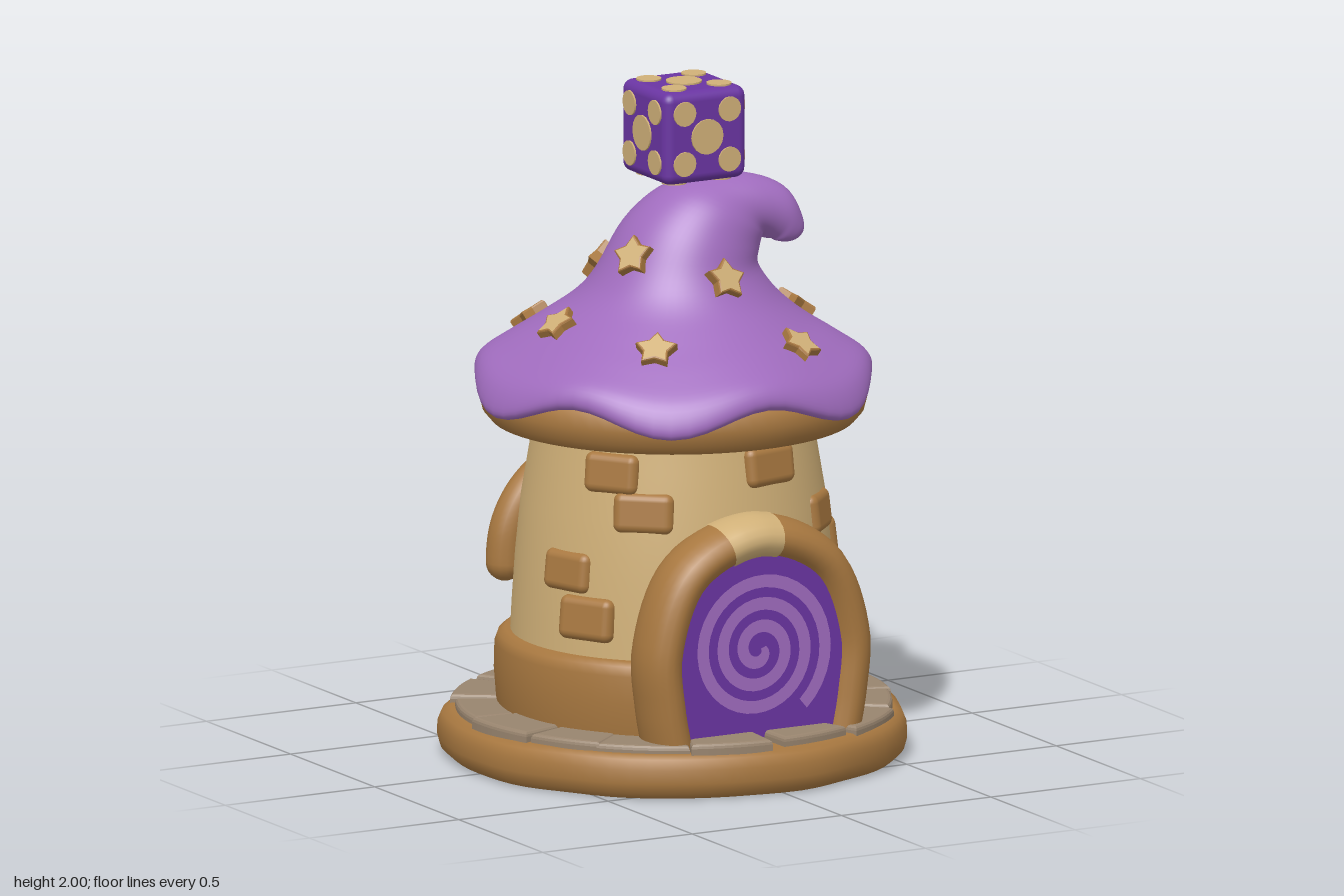
import * as THREE from 'three';
import { RoundedBoxGeometry } from 'three/addons/geometries/RoundedBoxGeometry.js';

const material = (name, color, side = THREE.FrontSide) => {
  const m = new THREE.MeshStandardMaterial({ color, side });
  m.name = name;
  return m;
};
const V = (x, y, z = 0) => new THREE.Vector3(x, y, z);
const DEG = Math.PI / 180;

export function createModel() {
  const wood = material('wood brown', 0xa87840);
  const plaster = material('plaster beige', 0xd0b078);
  const lilac = material('hat lilac', 0xa06cbe);
  const violet = material('deep violet', 0x6a35a2);
  const cobble = material('cobble grey', 0x98846e);

  const model = new THREE.Group();
  model.name = 'hatTower';
  const add = (name, geometry, mat, parent = model) => {
    const mesh = new THREE.Mesh(geometry, mat);
    mesh.name = name;
    parent.add(mesh);
    return mesh;
  };
  // Lathe whose radius ripples gently around the axis
  const lathe = (pts, ripple = 0) => {
    const g = new THREE.LatheGeometry(pts.map(([x, y]) => new THREE.Vector2(x, y)), 72);
    if (!ripple) return g;
    const p = g.attributes.position;
    for (let i = 0; i < p.count; i++) {
      const a = Math.atan2(p.getX(i), p.getZ(i));
      const k = 1 + ripple * (Math.sin(9 * a + 1) + 0.6 * Math.sin(14 * a));
      p.setX(i, p.getX(i) * k);
      p.setZ(i, p.getZ(i) * k);
    }
    return g;
  };

  // Plinth, collar, wall and the brim under the hat
  add('plinth', lathe([[0, 0], [0.63, 0], [0.655, 0.002], [0.675, 0.02], [0.683, 0.05], [0.682, 0.09],
    [0.67, 0.12], [0.645, 0.132], [0.4, 0.135]], 0.007), wood);
  add('collar', lathe([[0.5, 0.1], [0.515, 0.16], [0.522, 0.25], [0.52, 0.33], [0.51, 0.358],
    [0.49, 0.37], [0.42, 0.372]], 0.003), wood);
  add('wall', lathe([[0.478, 0.33], [0.472, 0.45], [0.462, 0.6], [0.445, 0.77], [0.42, 0.92], [0.4, 1.06]]), plaster);
  add('brim', lathe([[0.36, 1.03], [0.43, 1.002], [0.5, 0.995], [0.535, 1.003], [0.558, 1.03],
    [0.568, 1.07], [0.562, 1.12], [0.48, 1.18]]), wood);

  // Ring of cobbles on the plinth
  for (let i = 0; i < 15; i++) {
    const half = (10.2 + 1.1 * Math.sin(i * 2.3)) * DEG;
    const outer = 0.632 + 0.009 * Math.sin(i * 3.7);
    const s = new THREE.Shape();
    s.absarc(0, 0, outer, -half, half, false);
    s.absarc(0, 0, 0.5, half, -half, true);
    const g = new THREE.ExtrudeGeometry(s, { depth: 0.03, bevelThickness: 0.014, bevelSize: 0.013, bevelSegments: 3, curveSegments: 6 });
    g.rotateX(-Math.PI / 2);
    const stone = add('cobble', g, cobble);
    stone.position.y = 0.115 + 0.004 * Math.sin(i * 1.9);
    stone.rotation.y = (i * 24 + 90 + 2 * Math.sin(i * 5.1)) * DEG;
  }

  // Wall bricks: angle from the front, height, width, brick height
  const bricks = [
    [13, 0.92, 0.18, 0.12], [45, 0.74, 0.16, 0.12], [94, 0.92, 0.18, 0.12], [109, 0.775, 0.19, 0.13],
    [73, 0.625, 0.18, 0.14], [59, 0.48, 0.19, 0.13], [-55, 0.91, 0.17, 0.12], [-41, 0.8, 0.18, 0.12],
    [-72, 0.61, 0.17, 0.12], [-62, 0.48, 0.18, 0.13], [177, 0.92, 0.18, 0.12], [187, 0.7, 0.18, 0.13],
  ];
  for (const [deg, y, w, h] of bricks) {
    const r = 0.477 - 0.125 * Math.max(0, y - 0.42) - 0.004;
    const pivot = new THREE.Group();
    pivot.name = 'brickPivot';
    pivot.rotation.y = deg * DEG;
    model.add(pivot);
    const brick = add('brick', new RoundedBoxGeometry(w, h, 0.07, 3, 0.026), wood, pivot);
    brick.position.set(0, y, r - 0.008);
    brick.rotation.x = -0.12;
  }

  // Doorway: horseshoe arch, keystone, portal panel and spiral
  const side = [[0.275, 0.1], [0.303, 0.25], [0.312, 0.42], [0.222, 0.64]];
  const archPath = new THREE.CatmullRomCurve3([
    ...side.map(([x, y]) => V(-x, y)), V(0, 0.733), ...side.slice().reverse().map(([x, y]) => V(x, y)),
  ]);
  const keyPath = new THREE.CatmullRomCurve3([0.43, 0.465, 0.5, 0.535].map((t) => archPath.getPointAt(t)));
  for (const [name, path, r, mat] of [['doorArch', archPath, 0.065, wood], ['keystone', keyPath, 0.068, plaster]]) {
    const tube = add(name, new THREE.TubeGeometry(path, 48, r, 20), mat);
    tube.scale.z = 1.55;
    tube.position.z = 0.46;
  }
  const portalShape = new THREE.Shape(archPath.getPoints(40).map((p) => new THREE.Vector2(p.x, p.y)));
  add('portal', new THREE.ExtrudeGeometry(portalShape, { depth: 0.08, bevelEnabled: false }), violet).position.z = 0.447;

  const outerEdge = [], innerEdge = [];
  for (let i = 0; i <= 120; i++) {
    const t = i / 120, a = -50 * DEG + t * Math.PI * 2 * 3.2;
    const r = 0.23 - 0.215 * t, hw = 0.019 * Math.min(1, (1 - t) * 6 + 0.5);
    outerEdge.push(new THREE.Vector2(Math.cos(a) * (r + hw), Math.sin(a) * (r + hw)));
    innerEdge.unshift(new THREE.Vector2(Math.cos(a) * Math.max(0.002, r - hw), Math.sin(a) * Math.max(0.002, r - hw)));
  }
  add('portalSpiral', new THREE.ShapeGeometry(new THREE.Shape([...outerEdge, ...innerEdge])), lilac)
    .position.set(-0.012, 0.405, 0.531);

  // Hooped handle on the back
  const hoop = [V(-0.29, 0.5)];
  for (let i = 0; i <= 12; i++) hoop.push(V(-0.29 * Math.cos(i * 15 * DEG), 0.52 + 0.285 * Math.sin(i * 15 * DEG)));
  hoop.push(V(0.29, 0.5));
  const handle = new THREE.Group();
  handle.name = 'backHandle';
  handle.position.z = -0.487;
  model.add(handle);
  add('handleHoop', new THREE.TubeGeometry(new THREE.CatmullRomCurve3(hoop), 48, 0.056, 16), wood, handle);
  for (const x of [-0.29, 0.29]) add('handleEnd', new THREE.SphereGeometry(0.056, 16, 12), wood, handle).position.set(x, 0.5, 0);

  // Hat: tilted rings along a bent spine [x, y, z, radius, tilt, waviness]
  const rings = [
    [0, 1.12, 0, 0.5, 0, 1], [0, 1.09, 0, 0.568, 0, 1], [0, 1.115, 0, 0.592, 0, 1], [0, 1.175, 0, 0.565, 0, 0.6],
    [0, 1.235, 0, 0.485, 0, 0.3], [0, 1.3, 0, 0.385, 0, 0.1], [0.01, 1.37, 0, 0.295, 0, 0], [0.015, 1.45, 0, 0.235, 0, 0],
    [0.06, 1.54, 0, 0.203, 0.23, 0], [0.117, 1.6, 0.01, 0.168, 0.5, 0], [0.18, 1.617, 0.025, 0.128, 0.87, 0],
    [0.245, 1.613, 0.05, 0.102, 1.33, 0], [0.3, 1.593, 0.075, 0.08, 1.83, 0], [0.327, 1.555, 0.092, 0.058, 2.25, 0],
    [0.343, 1.525, 0.1, 0.036, 2.6, 0], [0.348, 1.508, 0.103, 0.001, 2.7, 0],
  ];
  const spine = new THREE.CatmullRomCurve3(rings.map((k) => V(k[0], k[1], k[2])), false, 'catmullrom');
  const form = new THREE.CatmullRomCurve3(rings.map((k) => V(k[3], k[4], k[5])), false, 'catmullrom');
  const rows = 75, cols = 72, pos = [], idx = [];
  for (let i = 0; i <= rows; i++) {
    const c = spine.getPoint(i / rows), f = form.getPoint(i / rows);
    for (let j = 0; j < cols; j++) {
      const phi = (j / cols) * Math.PI * 2;
      const wave = -Math.cos(6 * phi) * f.z;
      const r = Math.max(0.001, f.x) - 0.012 * wave;
      const u = r * Math.cos(phi);
      pos.push(c.x + u * Math.cos(f.y), c.y - u * Math.sin(f.y) + 0.034 * wave, c.z + r * Math.sin(phi));
      if (i === rows) continue;
      const a = i * cols + j, b = i * cols + ((j + 1) % cols);
      idx.push(a, a + cols, b, b, a + cols, b + cols);
    }
  }
  const hatGeo = new THREE.BufferGeometry();
  hatGeo.setAttribute('position', new THREE.Float32BufferAttribute(pos, 3));
  hatGeo.setIndex(idx);
  hatGeo.computeVertexNormals();
  const hat = add('hat', hatGeo, lilac);

  // Stars resting on the hat [x, y, z]
  const starShape = new THREE.Shape();
  for (let i = 0; i < 10; i++) {
    const r = i % 2 ? 0.033 : 0.056, a = (90 + i * 36) * DEG;
    starShape[i ? 'lineTo' : 'moveTo'](r * Math.cos(a), r * Math.sin(a));
  }
  const starGeo = new THREE.ExtrudeGeometry(starShape, { depth: 0.03, bevelThickness: 0.006, bevelSize: 0.006, bevelSegments: 2 });
  const stars = [
    [-0.25, 1.29, 0.34], [0.2, 1.27, 0.4], [0.04, 1.46, 0.26], [-0.22, 1.54, 0.1], [0.4, 1.3, 0.02],
    [-0.38, 1.31, -0.01], [-0.14, 1.45, -0.2], [0.17, 1.45, -0.2], [0.26, 1.28, -0.33], [-0.28, 1.28, -0.37],
  ];
  const ray = new THREE.Raycaster();
  stars.forEach(([x, y, z], i) => {
    const p = V(x, y, z);
    const n = V(x, 0, z).normalize().setY(y < 1.4 ? 1.4 : 0.65).normalize();
    ray.set(p.clone().addScaledVector(n, 0.3), n.clone().negate());
    const hit = ray.intersectObject(hat)[0];
    const star = add('star', starGeo, [plaster, wood]);
    const right = V(0, 1, 0).cross(n).normalize();
    star.quaternion.setFromRotationMatrix(new THREE.Matrix4().makeBasis(right, n.clone().cross(right), n));
    star.rotateZ(0.25 * Math.sin(i * 2.7));
    star.position.copy(hit ? hit.point : p).addScaledVector(n, -0.01);
  });

  // Die on top, with pips on each face
  const die = new THREE.Group();
  die.name = 'die';
  die.position.set(0.035, 1.857, 0);
  model.add(die);
  add('dieBody', new RoundedBoxGeometry(0.275, 0.275, 0.275, 4, 0.03), violet, die);
  const pipGeo = new THREE.CylinderGeometry(1, 1, 0.008, 16).rotateX(Math.PI / 2);
  const faces = [[0, 0], [0, 90], [0, 180], [0, 270], [90, 0], [-90, 0]];
  for (const [rx, ry] of faces) {
    const face = new THREE.Group();
    face.name = 'dieFace';
    face.rotation.set(rx * DEG, ry * DEG, 0);
    die.add(face);
    const mat = ry === 180 ? lilac : plaster;
    for (const [x, y, r] of [[0, 0, 0.053], [1, 1, 0.037], [-1, 1, 0.037], [1, -1, 0.037], [-1, -1, 0.037]]) {
      const pip = add('pip', pipGeo, mat, face);
      pip.position.set(x * 0.075, y * 0.075, 0.1385);
      pip.scale.set(r, r, 1);
    }
  }
  return model;
}
